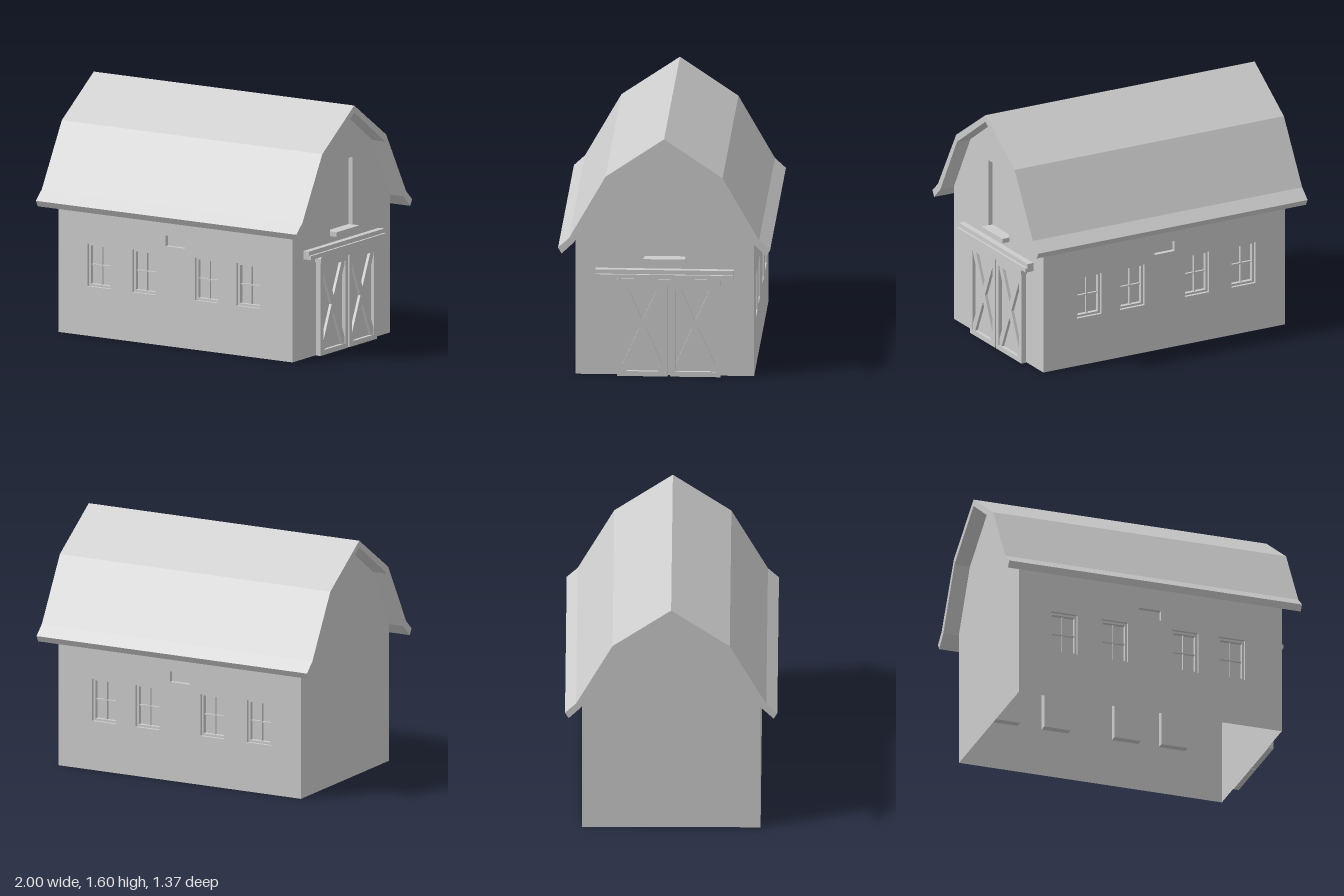
import * as THREE from 'three';

const mat = new THREE.MeshStandardMaterial({ color: 0xcccccc, side: THREE.DoubleSide, flatShading: true });

function add(parent, geometry, name, x = 0, y = 0, z = 0) {
  const mesh = new THREE.Mesh(geometry, mat);
  mesh.name = name;
  mesh.position.set(x, y, z);
  parent.add(mesh);
  return mesh;
}

const toVectors = (points) => points.map(([x, y]) => new THREE.Vector2(x, y));
const rect = (x, y, w, h) => toVectors([
  [x - w / 2, y - h / 2], [x + w / 2, y - h / 2], [x + w / 2, y + h / 2], [x - w / 2, y + h / 2],
]);

// Box given by its extents in x, y and z
function slab(parent, name, x0, x1, y0, y1, z0, z1) {
  return add(parent, new THREE.BoxGeometry(x1 - x0, y1 - y0, z1 - z0), name,
    (x0 + x1) / 2, (y0 + y1) / 2, (z0 + z1) / 2);
}

// Thin wall in the xy plane with rectangular openings [x, y, w, h]
function wall(parent, name, outline, openings = []) {
  const shape = new THREE.Shape(toVectors(outline));
  for (const o of openings) shape.holes.push(new THREE.Path(rect(...o)));
  return add(parent, new THREE.ShapeGeometry(shape), name);
}

// Open-fronted box lining an opening
function recess(parent, name, [x, y, w, h], depth) {
  const geo = new THREE.BoxGeometry(w, h, depth);
  const index = Array.from(geo.index.array);
  index.splice(24, 6);
  geo.setIndex(index);
  return add(parent, geo, name, x, y, -depth / 2);
}

// Rectangular border of the given width and depth
function border(parent, name, [x, y, w, h], t, depth, z) {
  const shape = new THREE.Shape(rect(x, y, w, h));
  shape.holes.push(new THREE.Path(rect(x, y, w - 2 * t, h - 2 * t)));
  return add(parent, new THREE.ExtrudeGeometry(shape, { depth, bevelEnabled: false }), name, 0, 0, z);
}

function window4(parent, opening) {
  const [x, y, w, h] = opening;
  const group = new THREE.Group();
  group.name = 'window';
  recess(group, 'windowRecess', opening, 0.05);
  border(group, 'windowFrame', opening, 0.014, 0.028, -0.048);
  slab(group, 'verticalGlazingBar', x - 0.004, x + 0.004, y - h / 2, y + h / 2, -0.048, -0.032);
  slab(group, 'horizontalGlazingBar', x - w / 2, x + w / 2, y - 0.004, y + 0.004, -0.048, -0.032);
  parent.add(group);
}

// Long wall; sign -1 mirrors it for the back
function longWall(sign) {
  const group = new THREE.Group();
  group.name = sign > 0 ? 'frontWall' : 'backWall';
  const windows = [-0.585, -0.24, 0.24, 0.56].map((x) => [sign * x, 0.465, 0.18, 0.28]);
  const vent = [0, 0.69, 0.15, 0.07];
  const a = -0.895 * sign, b = 0.9 * sign;
  wall(group, 'longWallPanel', [[a, 0], [b, 0], [b, 0.91], [a, 0.91]], [...windows, vent]);
  for (const w of windows) window4(group, w);
  recess(group, 'ventRecess', vent, 0.03);
  group.position.z = 0.575 * sign;
  if (sign < 0) group.rotation.y = Math.PI;
  return group;
}

// Barn door leaf with a crossed brace
function doorLeaf(cx) {
  const group = new THREE.Group();
  group.name = 'barnDoor';
  const w = 0.325, top = 0.61;
  slab(group, 'doorPanel', -w / 2, w / 2, 0, top, 0.004, 0.016);
  border(group, 'doorFrame', [0, top / 2, w, top], 0.033, 0.036, 0.004);
  const x = 0.128, y0 = 0.028, y1 = 0.605, cy = 0.316;
  for (const s of [-1, 1]) {
    const brace = new THREE.Shape(toVectors([
      [-x * s, y0], [-0.104 * s, y0], [0, cy - 0.055], [0.024 * s, cy], [x * s, y1 - 0.05],
      [x * s, y1], [0.104 * s, y1], [0, cy + 0.055], [-0.024 * s, cy], [-x * s, y0 + 0.05],
    ]));
    add(group, new THREE.ExtrudeGeometry(brace, { depth: 0.02, bevelEnabled: false }), 'crossBrace', 0, 0, 0.015);
  }
  group.position.x = cx;
  return group;
}

const roofOuter = [[0, 1.6], [0.377, 1.345], [0.612, 0.933], [0.683, 0.868]];
const roofInner = [[0.66, 0.828], [0.58, 0.905], [0.366, 1.3], [0, 1.555]];
const mirror = (points) => points.map(([x, y]) => [-x, y]).reverse();

// Gable outline below the roof lining
const gable = [[-0.575, 0], [0.575, 0], [0.575, 0.914], [0.366, 1.3], [0, 1.555], [-0.366, 1.3], [-0.575, 0.914]];

function doorEnd() {
  const group = new THREE.Group();
  group.name = 'doorEndWall';
  const loft = [0, 1.0075, 0.262, 0.445];
  wall(group, 'doorGable', gable, [loft]);
  recess(group, 'loftDoor', loft, 0.03);
  slab(group, 'loftSill', -0.135, 0.135, 0.755, 0.785, 0, 0.052);
  group.add(doorLeaf(-0.1425), doorLeaf(0.1975));

  // Header with clipped upper corners
  const header = new THREE.Shape(toVectors([
    [-0.308, 0.61], [0.362, 0.61], [0.362, 0.64], [0.352, 0.65], [-0.298, 0.65], [-0.308, 0.64],
  ]));
  add(group, new THREE.ExtrudeGeometry(header, { depth: 0.044, bevelEnabled: false }), 'doorHeader');

  // Stepped sliding rail
  slab(group, 'railBoard', -0.445, 0.445, 0.68, 0.71, 0, 0.042);
  slab(group, 'slidingRail', -0.445, 0.445, 0.655, 0.682, 0, 0.058);
  group.rotation.y = Math.PI / 2;
  group.position.x = 0.9;
  return group;
}

export function createModel() {
  const model = new THREE.Group();
  model.name = 'barn';

  // Gambrel roof with flared eaves
  const roof = new THREE.Shape(toVectors([
    ...roofOuter, ...roofInner, ...mirror(roofInner).slice(1), ...mirror(roofOuter).slice(0, -1),
  ]));
  const roofGeo = new THREE.ExtrudeGeometry(roof, { depth: 2, bevelEnabled: false });
  add(model, roofGeo, 'roof', -1).rotation.y = Math.PI / 2;

  model.add(longWall(1), longWall(-1), doorEnd());

  // Plain gable end
  const plain = wall(model, 'plainEndWall', gable);
  plain.rotation.y = -Math.PI / 2;
  plain.position.x = -0.895;
  return model;
}
